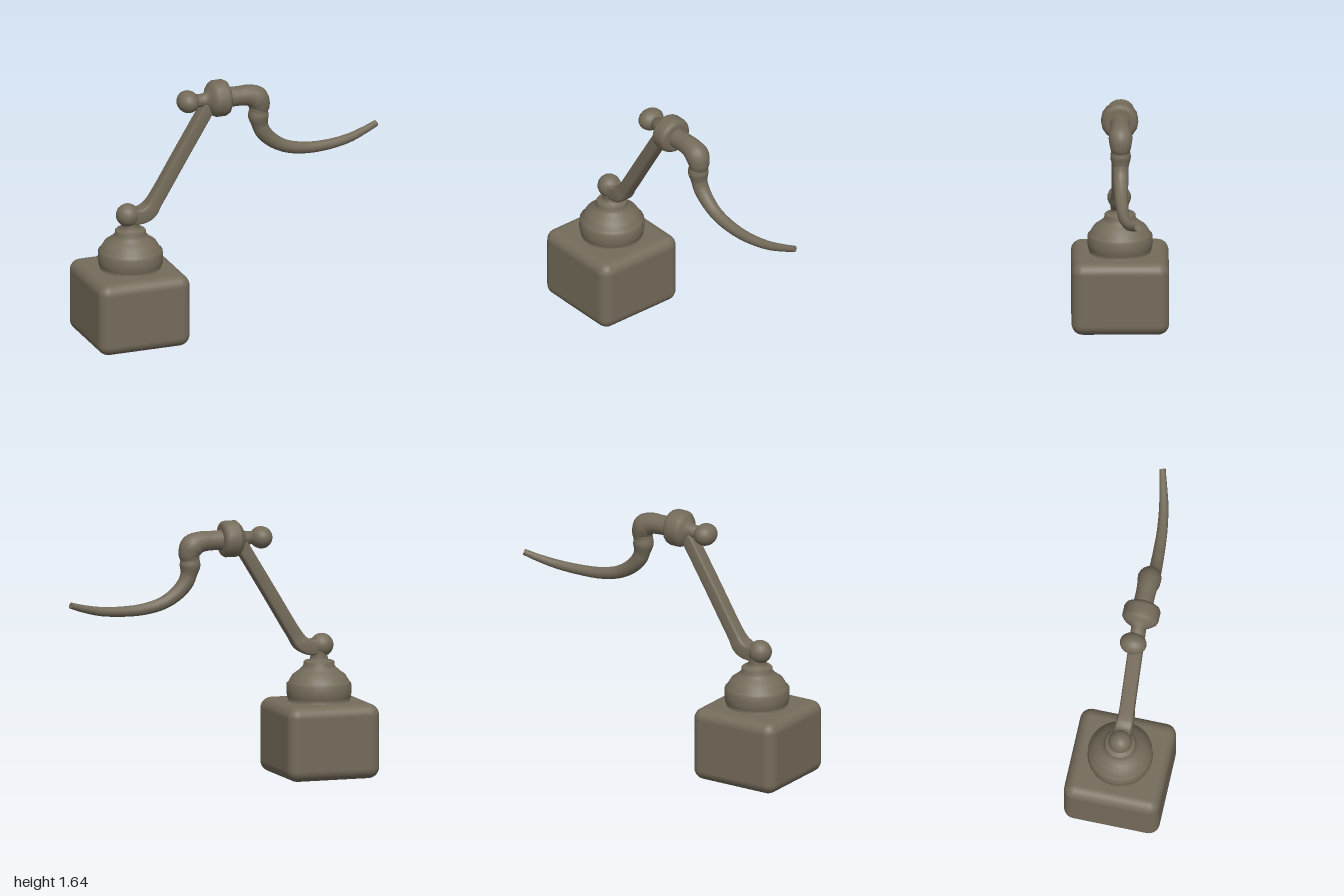
import * as THREE from 'three';
import { RoundedBoxGeometry } from 'three/addons/geometries/RoundedBoxGeometry.js';

// Capped tube in the vertical plane; stations are [x, y, z, radius]
function taperedTube(stations, steps, sides, depthScale = 1, square = false) {
  const path = new THREE.CatmullRomCurve3(stations.map(s => new THREE.Vector3(s[0], s[1], s[2])), false, 'centripetal');
  const radii = new THREE.SplineCurve(stations.map((s, i) => new THREE.Vector2(i, s[3])));
  const pos = [], index = [];
  for (let i = 0; i <= steps; i++) {
    const t = i / steps, p = path.getPoint(t), dir = path.getTangent(t), r = radii.getPoint(t).y;
    const up = new THREE.Vector3(0, 0, 1).cross(dir).normalize();
    const side = dir.clone().cross(up);
    for (let j = 0; j < sides; j++) {
      const a = (j / sides) * Math.PI * 2;
      let c = Math.cos(a), s = Math.sin(a);
      if (square) {
        c = Math.sign(c) * Math.pow(Math.abs(c), 0.4);
        s = Math.sign(s) * Math.pow(Math.abs(s), 0.4);
      }
      const v = p.clone().addScaledVector(up, c * r).addScaledVector(side, s * r * depthScale);
      pos.push(v.x, v.y, v.z);
    }
  }
  for (let i = 0; i < steps; i++) {
    for (let j = 0; j < sides; j++) {
      const a = i * sides + j, b = i * sides + (j + 1) % sides;
      index.push(a, b, a + sides, b, b + sides, a + sides);
    }
  }
  // End caps
  for (const [row, flip] of [[0, true], [steps, false]]) {
    const ring = row * sides * 3, start = pos.length / 3;
    for (let j = 0; j < sides; j++) pos.push(...pos.slice(ring + j * 3, ring + j * 3 + 3));
    for (let j = 1; j < sides - 1; j++) {
      index.push(start, start + (flip ? j + 1 : j), start + (flip ? j : j + 1));
    }
  }
  const geo = new THREE.BufferGeometry();
  geo.setAttribute('position', new THREE.Float32BufferAttribute(pos, 3));
  geo.setIndex(index);
  geo.computeVertexNormals();
  return geo;
}

export function createModel() {
  const group = new THREE.Group();
  const bronze = new THREE.MeshStandardMaterial({ color: 0x746b5a });
  bronze.name = 'dull bronze';

  const add = (name, geo, x = 0, y = 0, z = 0) => {
    const mesh = new THREE.Mesh(geo, bronze);
    mesh.name = name;
    mesh.position.set(x, y, z);
    group.add(mesh);
    return mesh;
  };
  const lathe = (points, sides = 28) =>
    new THREE.LatheGeometry(points.map(p => new THREE.Vector2(p[0], p[1])), sides);

  // Heavy rounded base block
  add('base', new RoundedBoxGeometry(0.61, 0.47, 0.61, 5, 0.07), -0.695, 0.235, 0);

  // Stepped turret and neck
  add('turret', lathe([
    [0.21, 0.45], [0.19, 0.475], [0.2, 0.495], [0.205, 0.53], [0.203, 0.58], [0.19, 0.592],
    [0.183, 0.605], [0.165, 0.635], [0.13, 0.66], [0.108, 0.68], [0.097, 0.695],
    [0.097, 0.715], [0.09, 0.722], [0.062, 0.726], [0.052, 0.75], [0.056, 0.79],
  ]), -0.69, 0, 0);

  // Shoulder joint
  add('shoulderBall', new THREE.SphereGeometry(0.074, 20, 14), -0.71, 0.82, 0.005);

  // Squared lower arm, bent at the shoulder
  add('lowerArm', taperedTube([
    [-0.71, 0.82, 0.005, 0.05], [-0.63, 0.81, 0.005, 0.05], [-0.575, 0.835, 0.007, 0.05],
    [-0.53, 0.895, 0.008, 0.043], [-0.35, 1.19, 0.008, 0.042], [-0.16, 1.5, 0.008, 0.042],
  ], 36, 16, 1.12, true));

  // Elbow knob, shaft and collar along the x axis
  const knob = add('elbowKnob', new THREE.SphereGeometry(0.07, 20, 14), -0.305, 1.52, 0);
  knob.scale.z = 1.22;
  const collar = add('elbowCollar', lathe([
    [0, -0.15], [0.042, -0.15], [0.042, -0.1], [0.058, -0.075], [0.085, -0.065], [0.108, -0.045],
    [0.116, -0.03], [0.116, 0.035], [0.106, 0.055], [0.085, 0.066], [0, 0.066],
  ], 16), -0.105, 1.52, 0.008);
  collar.rotation.z = -Math.PI / 2;

  // Upper pipe turning down into the wrist
  add('upperPipe', taperedTube([
    [-0.08, 1.515, 0.005, 0.064], [0.03, 1.515, 0.005, 0.062], [0.1, 1.51, 0.005, 0.067],
    [0.152, 1.485, 0.005, 0.075], [0.17, 1.435, 0.005, 0.067], [0.166, 1.405, 0.005, 0.06],
    [0.165, 1.365, 0.005, 0.065], [0.172, 1.315, 0.005, 0.053], [0.18, 1.275, 0.005, 0.047],
  ], 48, 18));

  // Long tapering curved hook
  add('hook', taperedTube([
    [0.172, 1.32, 0.005, 0.05], [0.19, 1.265, 0.005, 0.05], [0.245, 1.2, 0.004, 0.046],
    [0.34, 1.14, 0.002, 0.041], [0.47, 1.107, -0.004, 0.037], [0.62, 1.1, -0.015, 0.033],
    [0.78, 1.113, -0.04, 0.029], [0.9, 1.14, -0.07, 0.024], [0.992, 1.168, -0.094, 0.02],
  ], 56, 16));

  return group;
}
